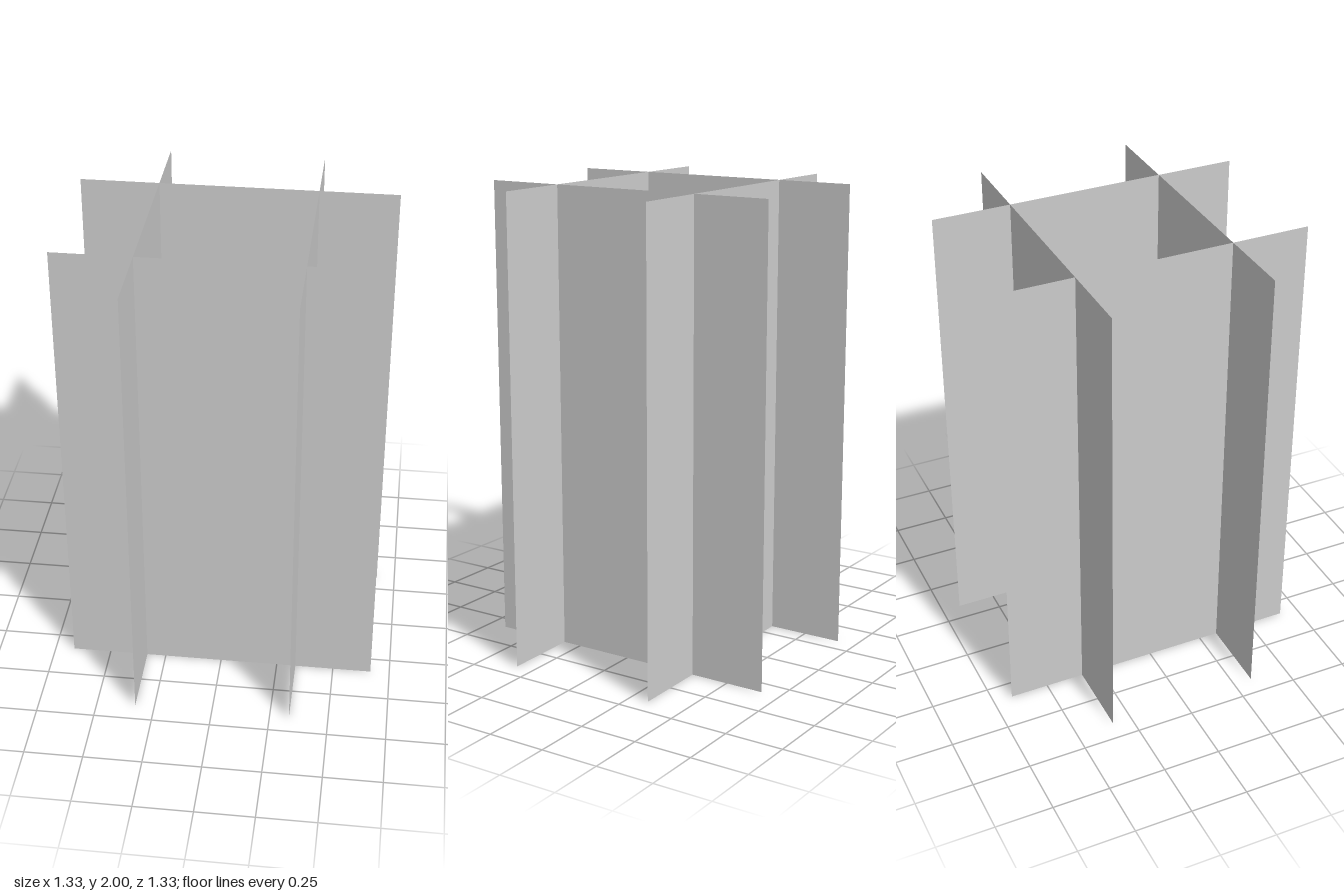
import * as THREE from 'three';

const WIDTH = 4 / 3, HEIGHT = 2, OFFSET = 1 / 3;

export function createModel() {
  const model = new THREE.Group();
  model.name = 'crossedPanels';
  const material = new THREE.MeshStandardMaterial({
    color: 0xcccccc, flatShading: true, side: THREE.DoubleSide,
  });

  // Thin upright panel, its foot on the ground
  const addPanel = (name, x, z, turn) => {
    const panel = new THREE.Mesh(new THREE.PlaneGeometry(WIDTH, HEIGHT), material);
    panel.name = name;
    panel.position.set(x, HEIGHT / 2, z);
    panel.rotation.y = turn;
    model.add(panel);
  };

  // Two pairs of panels crossing each other, open at top and bottom
  addPanel('frontPanel', 0, OFFSET, 0);
  addPanel('backPanel', 0, -OFFSET, Math.PI);
  addPanel('leftPanel', OFFSET, 0, Math.PI / 2);
  addPanel('rightPanel', -OFFSET, 0, -Math.PI / 2);

  return model;
}
